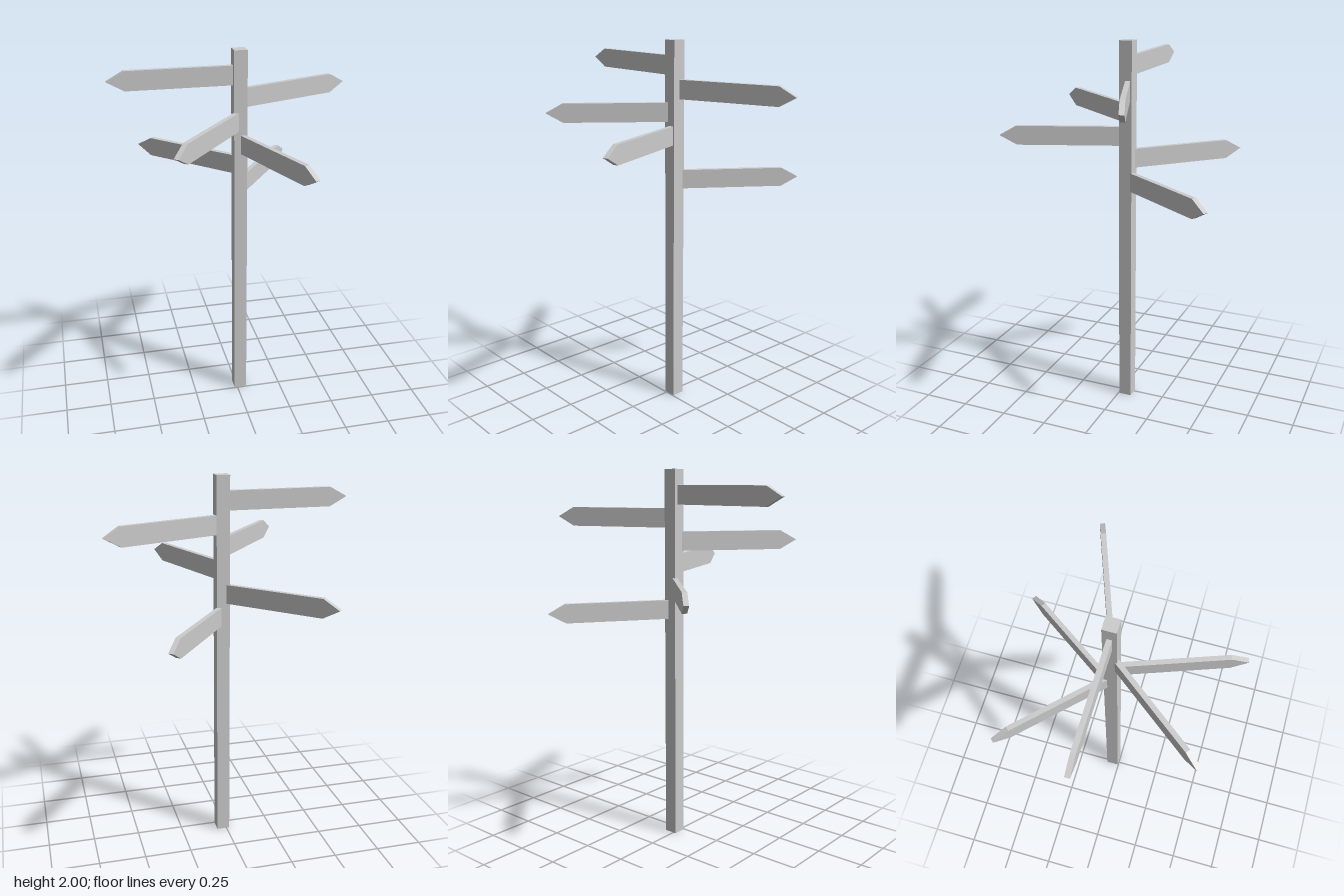
import * as THREE from 'three';

export function createModel() {
  const model = new THREE.Group();
  model.name = 'signpost';
  const material = new THREE.MeshStandardMaterial({ color: 0xcccccc, flatShading: true });

  const centre = new THREE.Group();
  centre.name = 'postAndSigns';
  centre.position.set(0.018, 0, -0.04);
  model.add(centre);

  // Square post
  const post = new THREE.Mesh(new THREE.BoxGeometry(0.07, 2, 0.07), material);
  post.name = 'post';
  post.position.y = 1;
  centre.add(post);

  // Pointed board, starting at the post's face and pointing along +x
  const start = 0.035, shoulder = 0.58, tip = 0.67, half = 0.05, thickness = 0.026;
  const outline = new THREE.Shape([
    new THREE.Vector2(start, -half),
    new THREE.Vector2(shoulder, -half),
    new THREE.Vector2(tip, 0),
    new THREE.Vector2(shoulder, half),
    new THREE.Vector2(start, half),
  ]);
  const board = new THREE.ExtrudeGeometry(outline, { depth: thickness, bevelEnabled: false });
  board.translate(0, 0, -thickness / 2);

  // Signs from top to bottom, each turned to its own heading (degrees about y)
  [180, 20, 232, -70, 135, 55].forEach((heading, i) => {
    const sign = new THREE.Mesh(board, material);
    sign.name = `directionSign${i + 1}`;
    sign.position.y = 1.87 - i * 0.12;
    sign.rotation.y = THREE.MathUtils.degToRad(heading);
    centre.add(sign);
  });

  return model;
}
